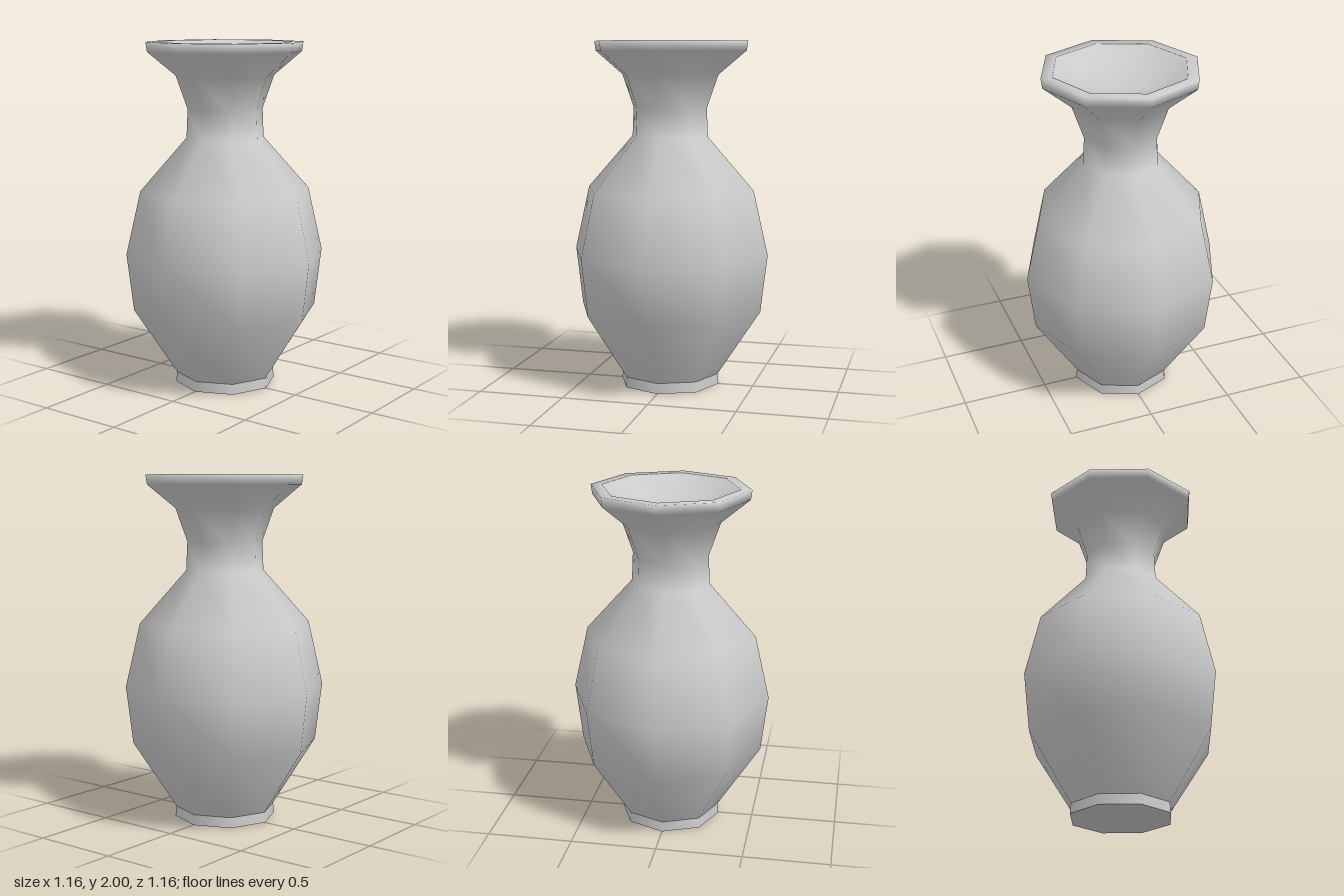
import * as THREE from 'three';

const SIDES = 8;

export function createModel() {
  const vase = new THREE.Group();
  vase.name = 'vase';
  const material = new THREE.MeshStandardMaterial({ color: 0xcccccc });

  // Each part is an eight-sided turned profile of [radius, height] points
  const turn = (name, profile) => {
    const points = profile.map(([r, y]) => new THREE.Vector2(r, y));
    const mesh = new THREE.Mesh(new THREE.LatheGeometry(points, SIDES), material);
    mesh.name = name;
    vase.add(mesh);
  };

  // Underside and short upright foot
  turn('underside', [[0, 0.01], [0.295, 0]]);
  turn('foot', [[0.295, 0], [0.29, 0.06]]);

  // Belly, shoulder, neck and flared mouth, ending in a soft lip
  turn('body', [
    [0.29, 0.06], [0.54, 0.445], [0.58, 0.78], [0.495, 1.15],
    [0.225, 1.455], [0.218, 1.62], [0.285, 1.81], [0.447, 1.945],
    [0.455, 2], [0.39, 2],
  ]);

  // Hollow of the mouth
  turn('mouthHollow', [[0.39, 2], [0.25, 1.93], [0.12, 1.905], [0, 1.9]]);

  return vase;
}
